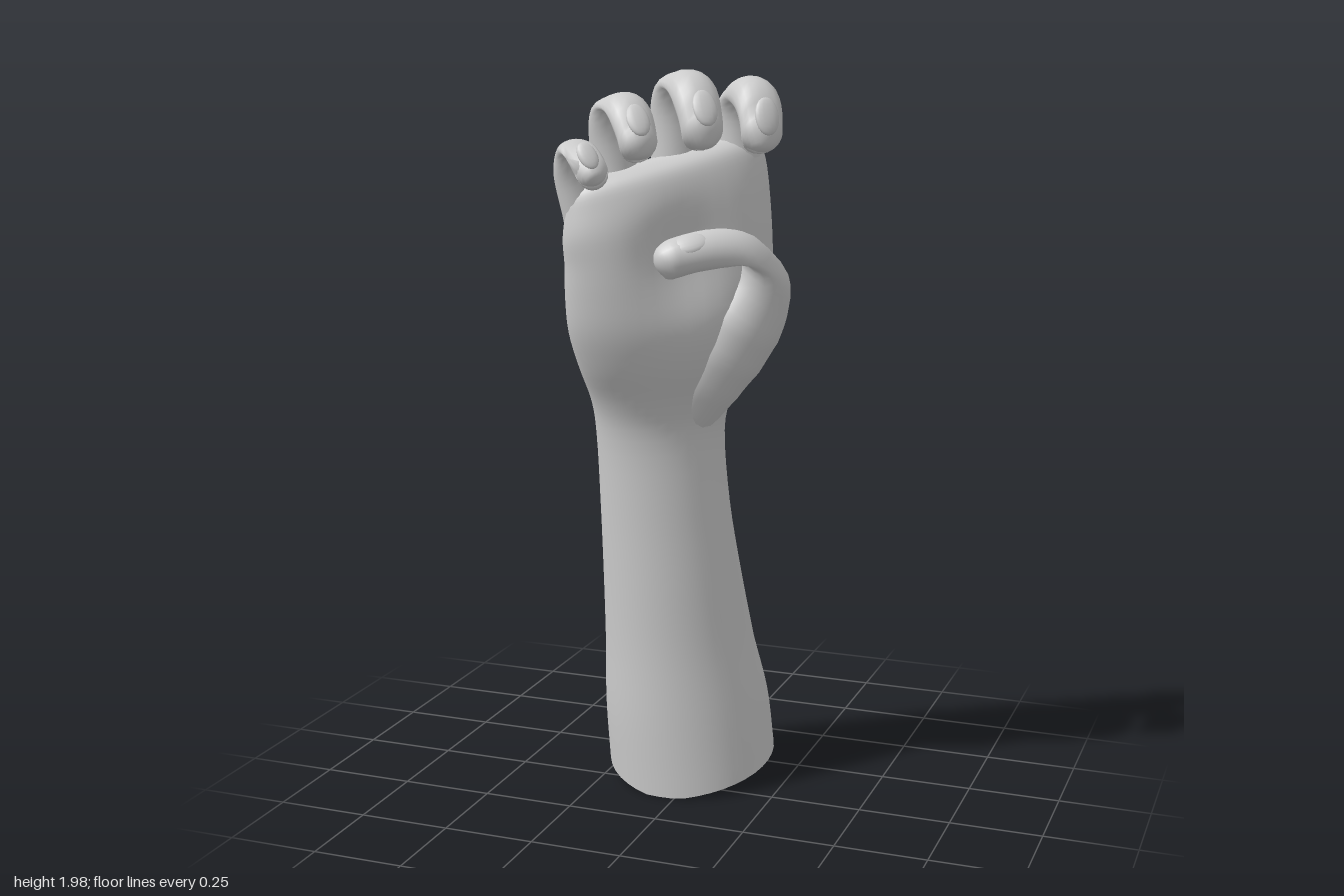
import * as THREE from 'three';
import { mergeVertices } from 'three/addons/utils/BufferGeometryUtils.js';

const skin = new THREE.MeshStandardMaterial({ color: 0xcccccc, side: THREE.DoubleSide });
const V = (x, y, z) => new THREE.Vector3(x, y, z);

// Horizontal axes of the hand: ACROSS runs little finger to index, PALM points out of the palm
const ACROSS = V(0.74, 0, -0.67), PALM = V(0.67, 0, 0.74);

function smooth(geometry) {
  geometry.deleteAttribute('normal');
  geometry.deleteAttribute('uv');
  const merged = mergeVertices(geometry, 1e-4);
  merged.computeVertexNormals();
  return merged;
}

function mesh(name, geometry) {
  const m = new THREE.Mesh(geometry, skin);
  m.name = name;
  return m;
}

// Forearm and palm: rounded sections [y, centre x, centre z, half width, half thickness]
function armGeometry() {
  const sections = [
    [0, -0.03, -0.125, 0.235, 0.23],
    [0.2, -0.041, -0.112, 0.232, 0.212],
    [0.4, -0.056, -0.095, 0.212, 0.19],
    [0.6, -0.071, -0.075, 0.195, 0.17],
    [0.8, -0.085, -0.058, 0.183, 0.147],
    [1.0, -0.093, -0.046, 0.182, 0.127],
    [1.1, -0.083, -0.033, 0.2, 0.133],
    [1.2, -0.062, -0.006, 0.243, 0.145],
    [1.3, -0.048, 0.012, 0.277, 0.155],
    [1.4, -0.038, 0.025, 0.29, 0.15],
    [1.5, -0.033, 0.038, 0.29, 0.138],
    [1.6, -0.035, 0.05, 0.288, 0.122],
    [1.68, -0.036, 0.054, 0.278, 0.102],
    [1.73, -0.037, 0.058, 0.262, 0.078],
    [1.755, -0.037, 0.06, 0.23, 0.04],
    [1.76, -0.037, 0.06, 0.2, 0.001],
  ];
  const spine = new THREE.CatmullRomCurve3(sections.map(s => V(s[1], s[0], s[2])), false, 'catmullrom');
  const sizes = new THREE.CatmullRomCurve3(sections.map(s => V(s[3], s[4], 0)), false, 'catmullrom');
  const rows = 60, cols = 40, pos = [], index = [];
  for (let i = 0; i <= rows; i++) {
    const c = spine.getPoint(i / rows), size = sizes.getPoint(i / rows);
    const tilt = 0.24 * THREE.MathUtils.smoothstep(c.y, 1.4, 1.7);
    for (let j = 0; j < cols; j++) {
      const a = j / cols * Math.PI * 2;
      const u = size.x * Math.cos(a);
      let n = size.y * Math.sin(a);
      // Hollow of the palm
      if (n > 0) n -= 0.05 * Math.sin(a) * Math.exp(-(((c.y - 1.5) / 0.14) ** 2) - ((u / 0.13) ** 2));
      const p = c.clone().addScaledVector(ACROSS, u).addScaledVector(PALM, n);
      p.y += tilt * u;
      // Slanted open end of the forearm
      if (c.y < 0.4) {
        const cut = 0.1 * Math.max(0, (0.1 - p.z) / 0.45) ** 0.7;
        p.y += cut * (1 - c.y / 0.4);
      }
      pos.push(p.x, p.y, p.z);
      if (i < rows) {
        const k = (j + 1) % cols, r = i * cols, s = r + cols;
        index.push(r + j, s + j, r + k, r + k, s + j, s + k);
      }
    }
  }
  const g = new THREE.BufferGeometry();
  g.setAttribute('position', new THREE.Float32BufferAttribute(pos, 3));
  g.setIndex(index);
  g.computeVertexNormals();
  return g;
}

// Tube whose radius follows a list of values and ends in a round tip
function digitGeometry(curve, radii) {
  const rings = 40, sides = 18;
  const g = new THREE.TubeGeometry(curve, rings, 1, sides, false);
  const pos = g.attributes.position, v = V(0, 0, 0);
  const last = radii.length - 1;
  const capStart = 1 - radii[last] / curve.getLength();
  for (let i = 0; i <= rings; i++) {
    // Pack extra rings into the tip
    const t = i < 30 ? capStart * i / 30 : capStart + (1 - capStart) * Math.sin((i - 30) / 10 * Math.PI / 2);
    const k = Math.min(Math.floor(t * last), last - 1);
    let r = THREE.MathUtils.lerp(radii[k], radii[k + 1], t * last - k);
    if (t > capStart) r *= Math.sqrt(Math.max(0, 1 - ((t - capStart) / (1 - capStart)) ** 2));
    const ringCentre = curve.getPointAt(i / rings), centre = curve.getPointAt(Math.min(t, 1));
    for (let j = 0; j <= sides; j++) {
      const id = i * (sides + 1) + j;
      v.fromBufferAttribute(pos, id).sub(ringCentre).multiplyScalar(r).add(centre);
      pos.setXYZ(id, v.x, v.y, v.z);
    }
  }
  return smooth(g);
}

// Flat oval nail lying on the outer side of a fingertip
function nailMesh(name, curve, r, outward) {
  const t = curve.getTangentAt(0.88);
  const n = outward.clone().addScaledVector(t, -outward.dot(t)).normalize();
  const m = mesh(name, new THREE.SphereGeometry(1, 16, 10));
  m.geometry.scale(r * 0.62, r * 0.95, r * 0.25);
  m.geometry.applyMatrix4(new THREE.Matrix4().makeBasis(t.clone().cross(n), t, n));
  const p = curve.getPointAt(0.88).addScaledVector(n, r * 0.78);
  m.geometry.translate(p.x, p.y, p.z);
  return m;
}

export function createModel() {
  const hand = new THREE.Group();
  hand.name = 'hand';
  hand.add(mesh('forearmAndPalm', armGeometry()));

  // Digits: spine points from inside the palm to the tip, then radii along the spine
  const digits = [
    ['indexFinger', [[0.1, 1.52, -0.09], [0.11, 1.72, -0.088], [0.118, 1.87, -0.08], [0.145, 1.905, -0.045],
      [0.2, 1.903, 0.035], [0.225, 1.865, 0.07], [0.236, 1.775, 0.085]], [0.05, 0.068, 0.064, 0.064, 0.06, 0.052]],
    ['middleFinger', [[-0.03, 1.5, -0.01], [-0.028, 1.72, 0.01], [-0.025, 1.885, 0.02], [0.003, 1.937, 0.055],
      [0.065, 1.925, 0.135], [0.1, 1.87, 0.175], [0.116, 1.785, 0.19]], [0.05, 0.066, 0.064, 0.065, 0.061, 0.052]],
    ['ringFinger', [[-0.12, 1.45, 0.08], [-0.145, 1.66, 0.115], [-0.158, 1.83, 0.132], [-0.137, 1.885, 0.16],
      [-0.075, 1.882, 0.23], [-0.04, 1.835, 0.262], [-0.018, 1.763, 0.28]], [0.05, 0.062, 0.058, 0.061, 0.058, 0.048]],
    ['littleFinger', [[-0.19, 1.4, 0.15], [-0.212, 1.58, 0.19], [-0.233, 1.725, 0.215], [-0.215, 1.775, 0.245],
      [-0.178, 1.782, 0.295], [-0.15, 1.75, 0.308], [-0.122, 1.7, 0.31]], [0.04, 0.055, 0.049, 0.05, 0.047, 0.04]],
    ['thumb', [[-0.02, 1.06, -0.05], [0.04, 1.18, -0.05], [0.115, 1.3, -0.06], [0.18, 1.4, -0.068],
      [0.2, 1.465, -0.045], [0.165, 1.515, 0.03], [0.09, 1.522, 0.1], [-0.025, 1.49, 0.175]],
      [0.08, 0.108, 0.122, 0.118, 0.092, 0.072, 0.06, 0.057, 0.05]],
  ];
  for (const [name, points, radii] of digits) {
    const curve = new THREE.CatmullRomCurve3(points.map(p => V(...p)));
    const outward = name === 'thumb' ? V(0.3, 0.7, 0.6) : V(0.62, 0.2, 0.75);
    const digit = new THREE.Group();
    digit.name = name;
    digit.add(mesh(name + 'Flesh', digitGeometry(curve, radii)));
    digit.add(nailMesh(name + 'Nail', curve, radii[radii.length - 1], outward));
    hand.add(digit);
  }
  return hand;
}
